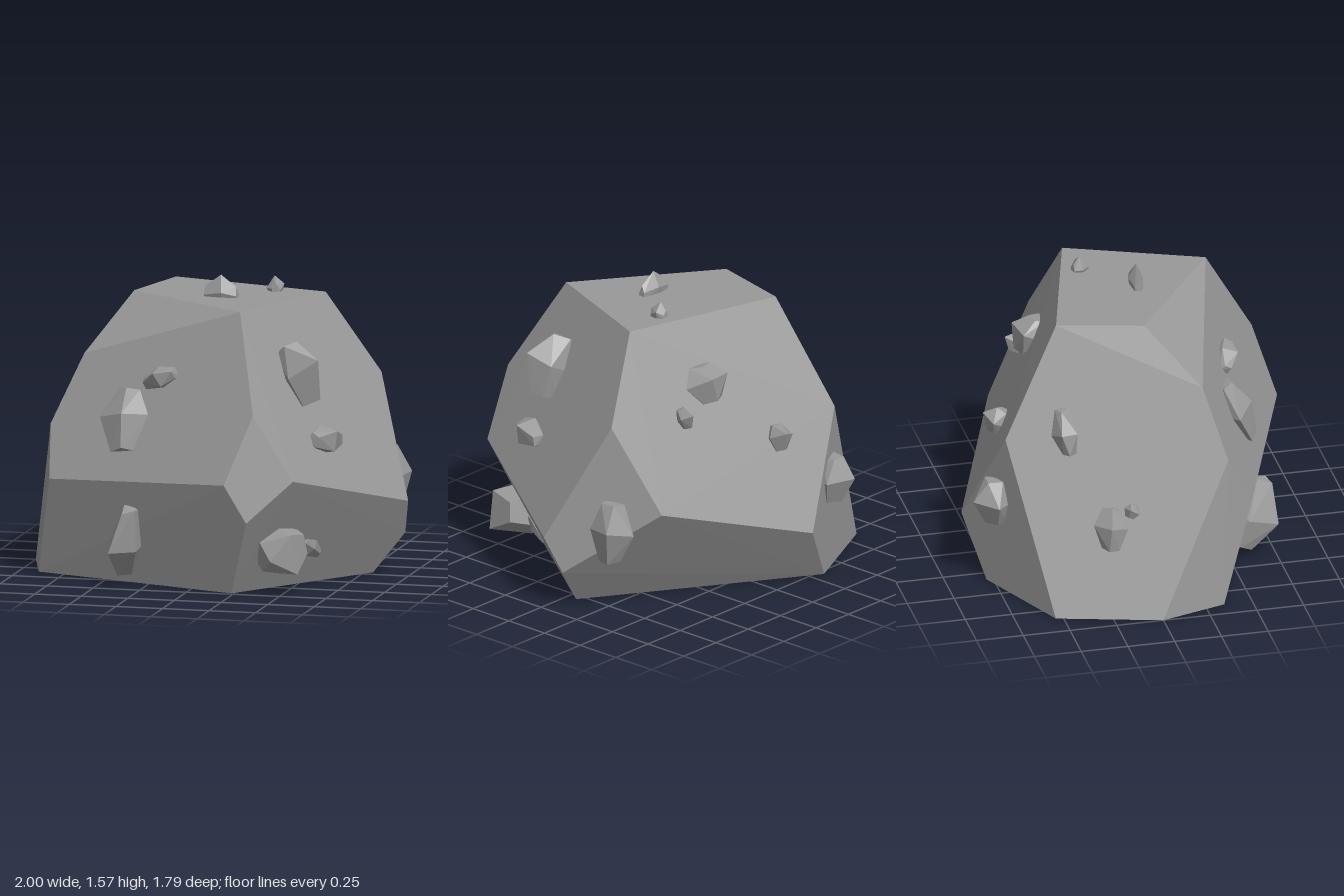
import * as THREE from 'three';
import { ConvexGeometry } from 'three/addons/geometries/ConvexGeometry.js';

const V = (x, y, z) => new THREE.Vector3(x, y, z);
const material = new THREE.MeshStandardMaterial({ color: 0x999999, flatShading: true });

// Corners of the boulder, whose hull gives the broad cut faces
const corners = [
  // flat top
  V(-0.355, 1.45, -0.42), V(0.51, 1.45, -0.18), V(0.23, 1.45, 0.52), V(-0.465, 1.45, 0.025),
  // front corner facet
  V(0.24, 0.6, 0.905), V(0.37, 0.955, 0.8), V(0.355, 0.4, 0.885), V(0.575, 0.61, 0.76),
  // back corner facet on the model's left
  V(0.78, 1.02, -0.295), V(0.995, 0.395, -0.015), V(0.955, 0.21, -0.11), V(0.66, 0.56, -0.54),
  // shoulders on the model's right and back
  V(-0.795, 0.525, 0.52), V(-0.82, 0.795, 0.39), V(-0.665, 1.155, 0.29),
  V(-0.14, 0.31, -0.875), V(-0.48, 0.88, -0.72),
  // flat base
  V(0.795, 0, -0.06), V(0.235, 0, 0.725), V(-0.895, 0, 0.35),
  V(-1, 0, 0), V(-0.85, 0, -0.54), V(-0.326, 0, -0.785),
];

// A face of the boulder: outward direction and one point on it
const face = (normal, point) =>
  new THREE.Plane().setFromNormalAndCoplanarPoint(normal.normalize(), point);

const faces = {
  top: face(V(0, 1, 0), corners[0]),
  frontUpper: face(V(-0.405, 0.45, 1), corners[4]),
  frontLower: face(V(-0.35, -0.3, 1), corners[4]),
  sideUpper: face(V(0.7, 0.365, 0.28), corners[1]),
  sideLower: face(V(0.895, -0.52, 0.64), corners[6]),
  corner: face(V(0.85, 0.06, -0.52), corners[8]),
  back: face(V(0.24, 0.39, -0.865), corners[0]),
  backLower: face(V(-0.42, -0.01, -0.9), corners[16]),
  farSide: face(V(-0.445, 0.166, -0.11), corners[3]),
};

function seeded(seed) {
  let s = seed * 7919 + 17;
  return () => (s = (s * 16807) % 2147483647) / 2147483647;
}

// Chipped stone lying on a face from a to b, half sunk into it
function stone(plane, a, b, width, height, seed) {
  const rand = seeded(seed);
  rand();
  const start = plane.projectPoint(V(...a), V());
  const end = plane.projectPoint(V(...b), V());
  const across = V().crossVectors(plane.normal, V().subVectors(end, start)).normalize();
  const points = [];
  for (const [t, size] of [[0, 0.5], [0.45, 1], [1, 0.5]]) {
    const twist = Math.PI / 2 + 0.5 * (rand() - 0.5);
    for (let i = 0; i < 5; i++) {
      const angle = twist + i * Math.PI * 0.4;
      const r = size * (0.92 + 0.2 * rand());
      const up = Math.sin(angle) * height * r;
      points.push(V().lerpVectors(start, end, t + (rand() - 0.5) * 0.1)
        .addScaledVector(across, Math.cos(angle) * width * 0.5 * r)
        .addScaledVector(plane.normal, up < 0 ? up * 0.5 : up));
    }
  }
  return new THREE.Mesh(new ConvexGeometry(points), material);
}

// Stones on each face: one end, other end, width, height
const stones = {
  frontUpper: [
    [[-0.36, 1, 0.48], [-0.38, 0.71, 0.61], 0.29, 0.09],
    [[-0.11, 1.11, 0.53], [-0.28, 1.04, 0.49], 0.12, 0.09],
  ],
  frontLower: [[[-0.38, 0.08, 0.53], [-0.31, 0.42, 0.65], 0.19, 0.19]],
  sideUpper: [
    [[0.47, 1.26, 0.37], [0.57, 0.96, 0.37], 0.2, 0.19],
    [[0.64, 0.8, 0.48], [0.69, 0.76, 0.29], 0.16, 0.11],
  ],
  sideLower: [
    [[0.4, 0.2, 0.72], [0.53, 0.26, 0.53], 0.32, 0.21],
    [[0.55, 0.25, 0.46], [0.61, 0.16, 0.35], 0.1, 0.03],
  ],
  corner: [[[0.82, 0.61, -0.34], [0.82, 0.29, -0.32], 0.24, 0.14]],
  back: [
    [[0.2, 1.23, -0.4], [0.2, 1.06, -0.5], 0.24, 0.12],
    [[0.38, 1.04, -0.42], [0.38, 0.96, -0.5], 0.09, 0.1],
    [[-0.11, 0.87, -0.66], [-0.1, 0.74, -0.7], 0.13, 0.12],
  ],
  backLower: [[[-0.42, 0.62, -0.76], [-0.42, 0.39, -0.76], 0.23, 0.14]],
  top: [
    [[0.11, 1.45, 0.1], [-0.07, 1.45, 0.09], 0.09, 0.105],
    [[0.24, 1.45, -0.19], [0.26, 1.45, -0.11], 0.09, 0.075],
  ],
  farSide: [
    [[-0.6, 0.82, -0.41], [-0.5, 1.03, -0.43], 0.14, 0.1],
    [[-0.77, 0.56, -0.22], [-0.84, 0.36, -0.24], 0.19, 0.1],
    [[-0.77, 0.57, -0.1], [-0.79, 0.51, -0.13], 0.09, 0.06],
  ],
};

export function createModel() {
  const model = new THREE.Group();
  model.name = 'boulder';

  const body = new THREE.Mesh(new ConvexGeometry(corners), material);
  body.name = 'boulderBody';
  model.add(body);

  for (const [name, list] of Object.entries(stones)) {
    const group = new THREE.Group();
    group.name = `${name}Stones`;
    list.forEach((values, i) => {
      const mesh = stone(faces[name], ...values, name.length + i);
      mesh.name = `${name}Stone${i + 1}`;
      group.add(mesh);
    });
    model.add(group);
  }
  return model;
}
